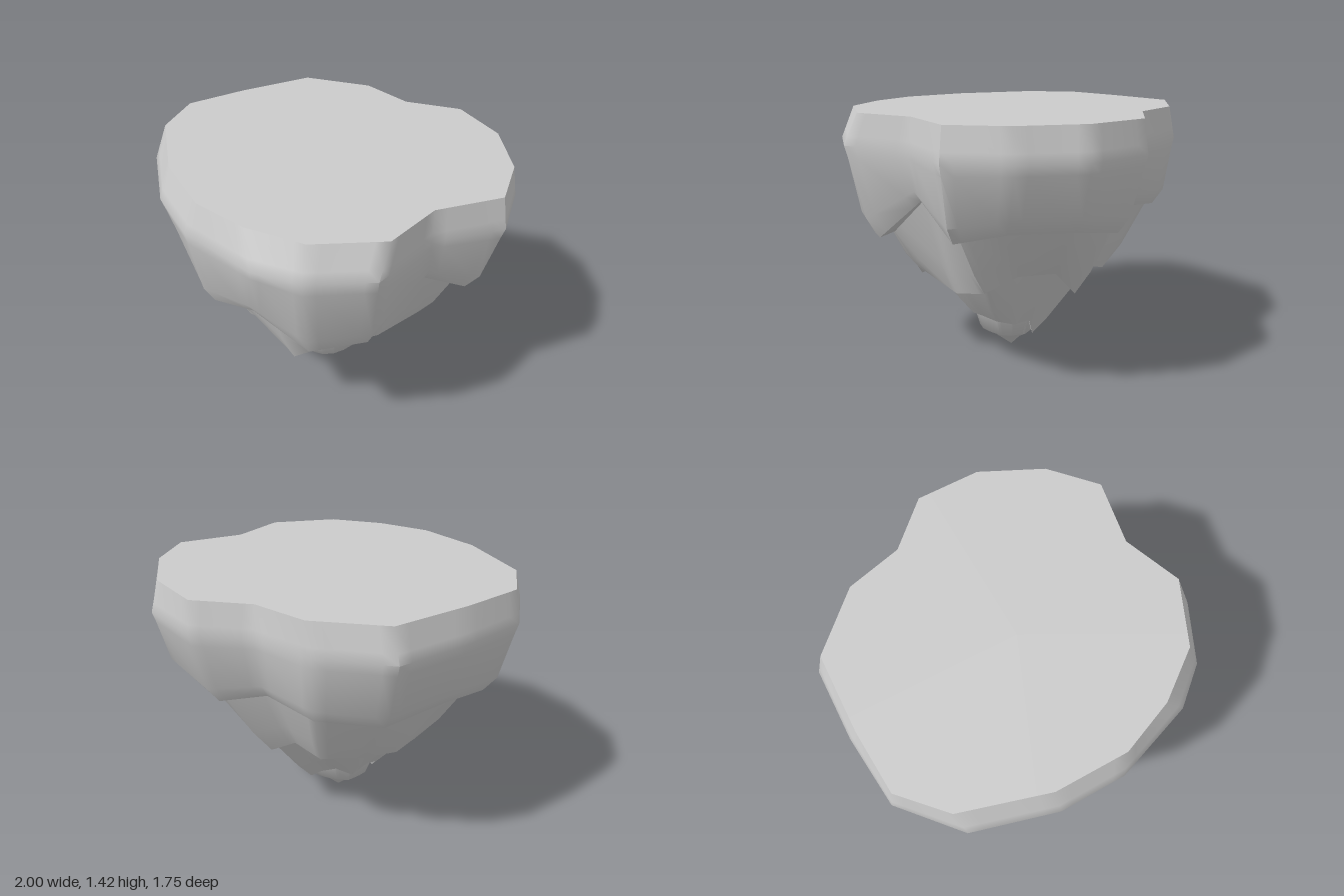
import * as THREE from 'three';
import { toCreasedNormals } from 'three/addons/utils/BufferGeometryUtils.js';

// Outlines run from -x through -z, +x and +z. Flat ones are [x, z], hems are [x, y, z].
const rim = [[-.97, -.07], [-.82, -.38], [-.6, -.75], [-.22, -.85], [.08, -.77], [.39, -.85], [.69, -.68], [.9, -.38],
  [.97, -.08], [.74, .2], [.69, .53], [.39, .75], [.08, .79], [-.23, .75], [-.57, .56], [-.9, .22]];
const belly = [[-1, -.08], [-.84, -.44], [-.64, -.78], [-.26, -.875], [.08, -.8], [.39, -.875], [.73, -.7], [.92, -.41],
  [1, -.08], [.75, .22], [.69, .62], [.41, .82], [.16, .87], [-.29, .79], [-.6, .62], [-.92, .3]];
const upperHem = [[-.85, .85, -.07], [-.72, .88, -.36], [-.53, .85, -.65], [-.22, .88, -.78], [.07, .92, -.71],
  [.34, .84, -.73], [.63, .9, -.6], [.8, .9, -.32], [.84, .84, -.06], [.7, 1, .18], [.58, .75, .5], [.35, .71, .68],
  [.07, .9, .75], [-.25, .77, .67], [-.47, .8, .5], [-.77, .87, .25]];
const middleHem = [[-.5, .47, -.04], [-.44, .45, -.22], [-.33, .5, -.42], [-.13, .5, -.53], [.03, .55, -.51],
  [.2, .44, -.47], [.38, .6, -.42], [.5, .6, -.26], [.57, .51, -.1], [.44, .44, .12], [.38, .51, .32], [.25, .5, .46],
  [.13, .42, .5], [-.14, .51, .42], [-.3, .41, .33], [-.41, .32, .14]];
const lowerHem = [[-.24, .22, -.02], [-.22, .25, -.1], [-.16, .2, -.18], [-.08, .25, -.23], [.02, .2, -.22],
  [.1, .13, -.19], [.18, .24, -.2], [.23, .22, -.13], [.27, .24, -.04], [.24, .25, .06], [.19, .24, .14], [.12, .25, .2],
  [.03, .22, .21], [-.06, .22, .19], [-.15, .12, .14], [-.18, .13, .07]];

const level = (outline, y) => outline.map(([x, z]) => [x, y, z]);
const point = (x, y, z) => rim.map(() => [x, y, z]);
const mix = (p, q, t) => p.map((v, k) => v + (q[k] - v) * t);
// Ring between two others, pushed slightly outwards
const between = (a, b, t, push = 1) => a.map((p, i) => {
  const [x, y, z] = mix(p, b[i], t);
  return [x * push, y, z * push];
});
// Recessed ring under an overhanging hem; the overhang is deeper at the front
const ledge = hem => hem.map(([x, y, z]) => {
  const s = .92 - .06 * z;
  return [x * s, y + .025, z * s];
});
// Extra points beside each corner keep the panels flat and the corners softly rounded
const refine = ring => ring.flatMap((p, i) => {
  const q = ring[(i + 1) % ring.length];
  return [p, mix(p, q, .18), mix(p, q, .82)];
});

// Skin a stack of rings listed from top to bottom
function skin(name, outlines, material) {
  const rings = outlines.map(refine);
  const pos = [];
  const n = rings[0].length;
  const same = (p, q) => p.every((v, k) => v === q[k]);
  const tri = (a, b, c) => {
    if (!same(a, b) && !same(b, c) && !same(a, c)) pos.push(...a, ...b, ...c);
  };
  for (let r = 0; r < rings.length - 1; r++) {
    for (let i = 0; i < n; i++) {
      const j = (i + 1) % n;
      const a = rings[r][i], b = rings[r][j], c = rings[r + 1][i], d = rings[r + 1][j];
      tri(a, b, c);
      tri(b, d, c);
    }
  }
  const geometry = new THREE.BufferGeometry();
  geometry.setAttribute('position', new THREE.Float32BufferAttribute(pos, 3));
  const mesh = new THREE.Mesh(toCreasedNormals(geometry, .9), material);
  mesh.name = name;
  return mesh;
}

export function createModel() {
  const group = new THREE.Group();
  group.name = 'floatingIsland';
  const rock = new THREE.MeshStandardMaterial({ color: 0xcccccc });
  const top = level(rim, 1.42);
  const widest = level(belly, 1.25);

  // Flat ground on top
  group.add(skin('flatTop', [point(0, 1.42, 0), top], rock));

  // Broad upper band with a rounded shoulder, a jagged hem and its underside
  group.add(skin('upperTier', [
    top, between(top, widest, .7), widest, between(widest, upperHem, .15, 1.005),
    between(widest, upperHem, .78, 1.04), upperHem, ledge(upperHem),
  ], rock));

  // Two narrower rock tiers, each hanging below the one above
  const tiers = [['middleTier', upperHem, middleHem], ['lowerTier', middleHem, lowerHem]];
  for (const [name, above, hem] of tiers) {
    const start = ledge(above);
    group.add(skin(name, [start, between(start, hem, .65, 1.03), hem, ledge(hem)], rock));
  }

  // Pointed tip with a slightly hollow flank
  const ring = (s, y) => lowerHem.map(([x, h, z]) => [x * s, y + h * .2, z * s]);
  group.add(skin('tip', [ledge(lowerHem), ring(.72, .08), ring(.48, .05), point(0, 0, -.02)], rock));
  return group;
}
